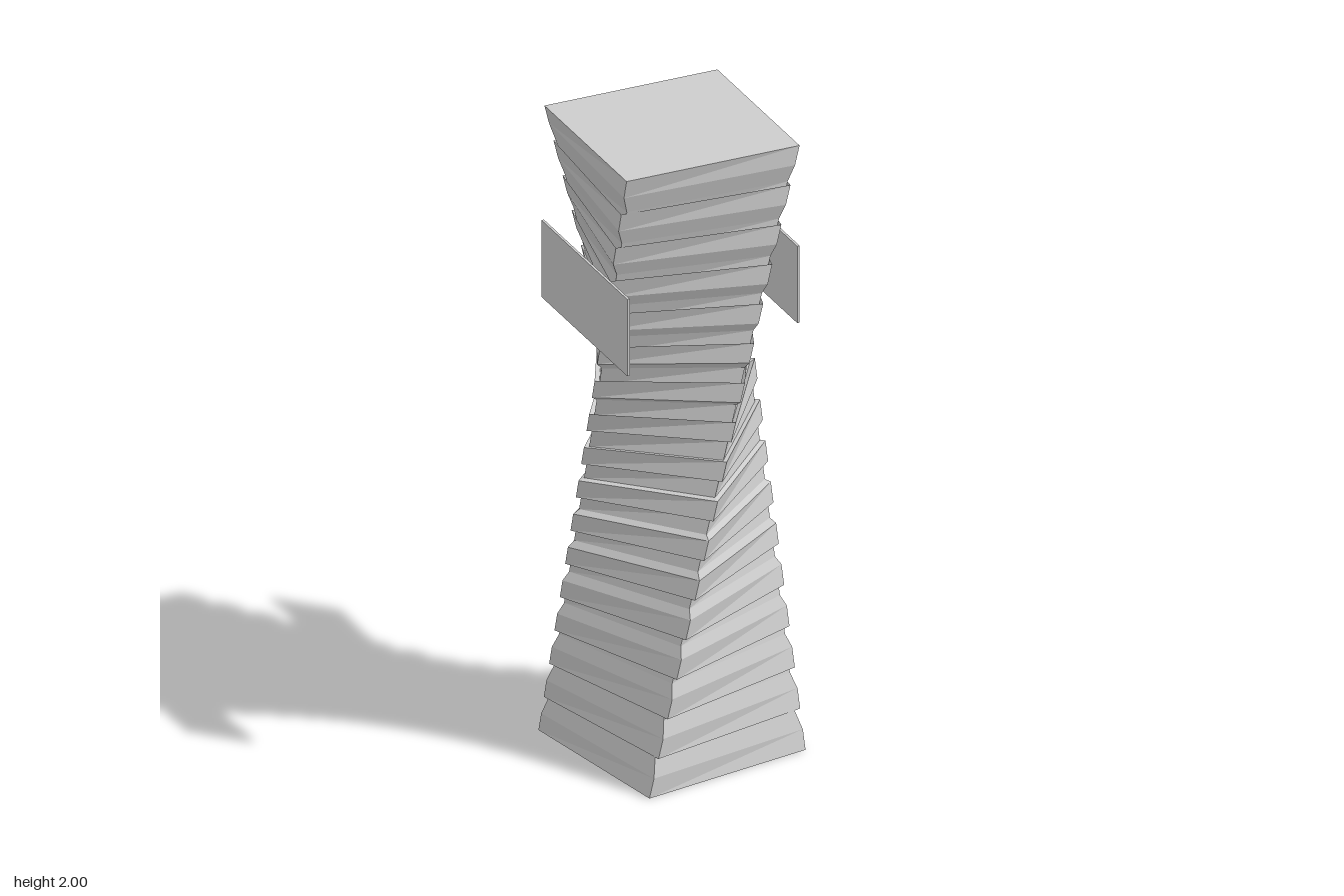
import * as THREE from 'three';

const BANDS = 33, HEIGHT = 2, HALF = 0.28, RECESS = 0.94;
const TWIST = THREE.MathUtils.degToRad(80);
const CORNERS = [[1, 1], [1, -1], [-1, -1], [-1, 1]];

// Square ring at fraction t: corners run straight from the base to the turned top,
// recessed rings are shrunk about the tower's centre
function ring(t, scale) {
  return CORNERS.map(([x, z]) => {
    const base = new THREE.Vector3(x * HALF, 0, z * HALF);
    const top = base.clone().applyAxisAngle(new THREE.Vector3(0, 1, 0), TWIST).setY(HEIGHT);
    const p = base.lerp(top, t);
    p.y -= HEIGHT / 2;
    p.multiplyScalar(scale);
    p.y += HEIGHT / 2;
    return p;
  });
}

function towerGeometry() {
  // every second band is recessed
  const rings = [];
  for (let i = 0; i < BANDS; i++) {
    const s = i % 2 ? RECESS : 1;
    rings.push(ring(i / BANDS, s), ring((i + 1) / BANDS, s));
  }
  const pos = [];
  const quad = (a, b, c, d) => {
    for (const p of [a, b, c, a, c, d]) pos.push(p.x, p.y, p.z);
  };
  for (let r = 0; r < rings.length - 1; r++) {
    for (let k = 0; k < 4; k++) {
      const n = (k + 1) % 4;
      // adjacent recessed and full rings share a sloped wall
      quad(rings[r][k], rings[r][n], rings[r + 1][n], rings[r + 1][k]);
    }
  }
  quad(...rings[rings.length - 1]);
  quad(...rings[0].slice().reverse());
  const geo = new THREE.BufferGeometry();
  geo.setAttribute('position', new THREE.Float32BufferAttribute(pos, 3));
  geo.computeVertexNormals();
  return geo;
}

export function createModel() {
  const group = new THREE.Group();
  group.name = 'twistedTower';
  const grey = new THREE.MeshStandardMaterial({ color: 0xcccccc });
  grey.name = 'light grey';

  const tower = new THREE.Mesh(towerGeometry(), grey);
  tower.name = 'ribbedTower';
  tower.position.set(0.003, 0, -0.001);
  group.add(tower);

  // Sign panels standing off two sides, turned with the roof
  const panelGeo = new THREE.BoxGeometry(0.008, 0.25, 0.585);
  for (const side of [-1, 1]) {
    const panel = new THREE.Mesh(panelGeo, grey);
    panel.name = side > 0 ? 'leftPanel' : 'rightPanel';
    panel.position.set(side * 0.305, 1.525, -0.004);
    panel.rotation.y = TWIST - Math.PI / 2;
    group.add(panel);
  }
  return group;
}
